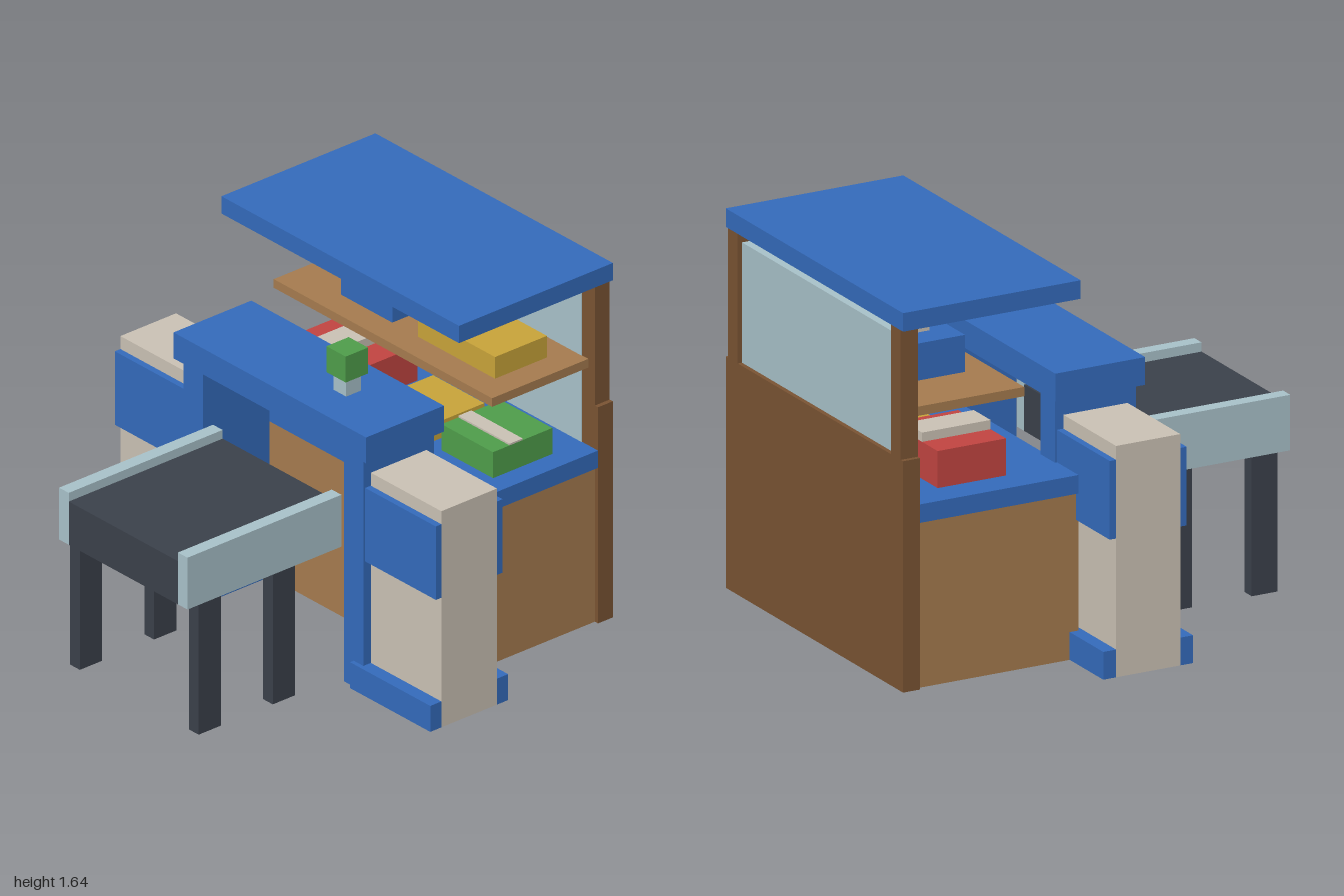
import * as THREE from 'three';

const mat = (name, color) => {
  const m = new THREE.MeshStandardMaterial({ color });
  m.name = name;
  return m;
};

export function createModel() {
  const root = new THREE.Group();
  root.name = 'checkpoint';
  const blue = mat('blue', 0x346bbc);
  const beige = mat('beige', 0xcbc2b5);
  const pale = mat('paleGlass', 0xa9c2ca);
  const dark = mat('charcoal', 0x3b414b);
  const wood = mat('lightWood', 0xa67c4f);
  const brown = mat('darkWood', 0x7a5433);
  const red = mat('red', 0xc24541);
  const green = mat('green', 0x4f9e4b);
  const yellow = mat('yellow', 0xc9a43a);

  // Box given by its minimum and maximum on each axis
  const box = (name, m, x0, x1, y0, y1, z0, z1) => {
    const mesh = new THREE.Mesh(new THREE.BoxGeometry(x1 - x0, y1 - y0, z1 - z0), m);
    mesh.position.set((x0 + x1) / 2, (y0 + y1) / 2, (z0 + z1) / 2);
    mesh.name = name;
    root.add(mesh);
  };
  // The same box on the left and right
  const pair = (name, m, x0, x1, ...yz) => {
    box(name + 'Left', m, x0, x1, ...yz);
    box(name + 'Right', m, -x1, -x0, ...yz);
  };

  // Gate: side walls with trim on both faces, posts and lintel
  pair('sideWall', beige, 0.56, 1, 0, 1, -0.15, 0.15);
  pair('frontSkirting', blue, 0.5, 1, 0, 0.12, 0.15, 0.21);
  pair('backSkirting', blue, 0.5, 1, 0, 0.12, -0.21, -0.15);
  pair('frontPanel', blue, 0.56, 1, 0.6, 0.94, 0.15, 0.18);
  pair('backPanel', blue, 0.56, 1, 0.6, 0.94, -0.18, -0.15);
  pair('gatePost', blue, 0.44, 0.56, 0, 1.08, -0.19, 0.19);
  box('lintel', blue, -0.6, 0.6, 1.08, 1.2, -0.21, 0.21);
  box('lampStem', pale, 0.2, 0.28, 1.2, 1.28, -0.04, 0.04);
  box('lamp', green, 0.18, 0.3, 1.28, 1.4, -0.06, 0.06);

  // Conveyor table
  box('conveyorBelt', dark, -0.34, 0.34, 0.6, 0.8, 0.17, 1);
  pair('conveyorRail', pale, 0.34, 0.4, 0.6, 0.84, 0.17, 1);
  for (const z of [0.42, 0.82]) pair('conveyorLeg', dark, 0.34, 0.4, 0, 0.6, z, z + 0.12);

  // Booth: desk, back wall, window, posts, roof and shelf
  box('desk', wood, -0.72, 0.72, 0, 0.72, -0.92, -0.17);
  box('counter', blue, -0.74, 0.74, 0.72, 0.8, -0.92, -0.17);
  box('backWall', brown, -0.74, 0.74, 0, 1, -1, -0.92);
  pair('roofPost', brown, 0.64, 0.72, 1, 1.56, -1, -0.92);
  box('window', pale, -0.64, 0.64, 0.8, 1.52, -0.98, -0.917);
  box('roof', blue, -0.74, 0.74, 1.56, 1.64, -1, -0.17);
  box('shelf', wood, -0.68, 0.68, 1.16, 1.2, -0.92, -0.4);

  // Luggage on the shelf
  box('blueCase', blue, -0.4, -0.08, 1.2, 1.36, -0.8, -0.52);
  box('blueCaseHandle', beige, -0.28, -0.2, 1.36, 1.44, -0.7, -0.62);
  box('yellowCase', yellow, 0.08, 0.56, 1.2, 1.3, -0.8, -0.52);

  // Luggage on the counter
  box('redCase', red, -0.6, -0.2, 0.8, 0.96, -0.76, -0.44);
  box('redCaseStrap', beige, -0.47, -0.33, 0.96, 1, -0.76, -0.44);
  box('yellowTray', yellow, -0.08, 0.24, 0.8, 0.88, -0.74, -0.46);
  box('greenCase', green, 0.32, 0.64, 0.8, 0.92, -0.76, -0.44);
  box('greenCaseStrap', beige, 0.32, 0.64, 0.92, 0.928, -0.6, -0.53);

  return root;
}
